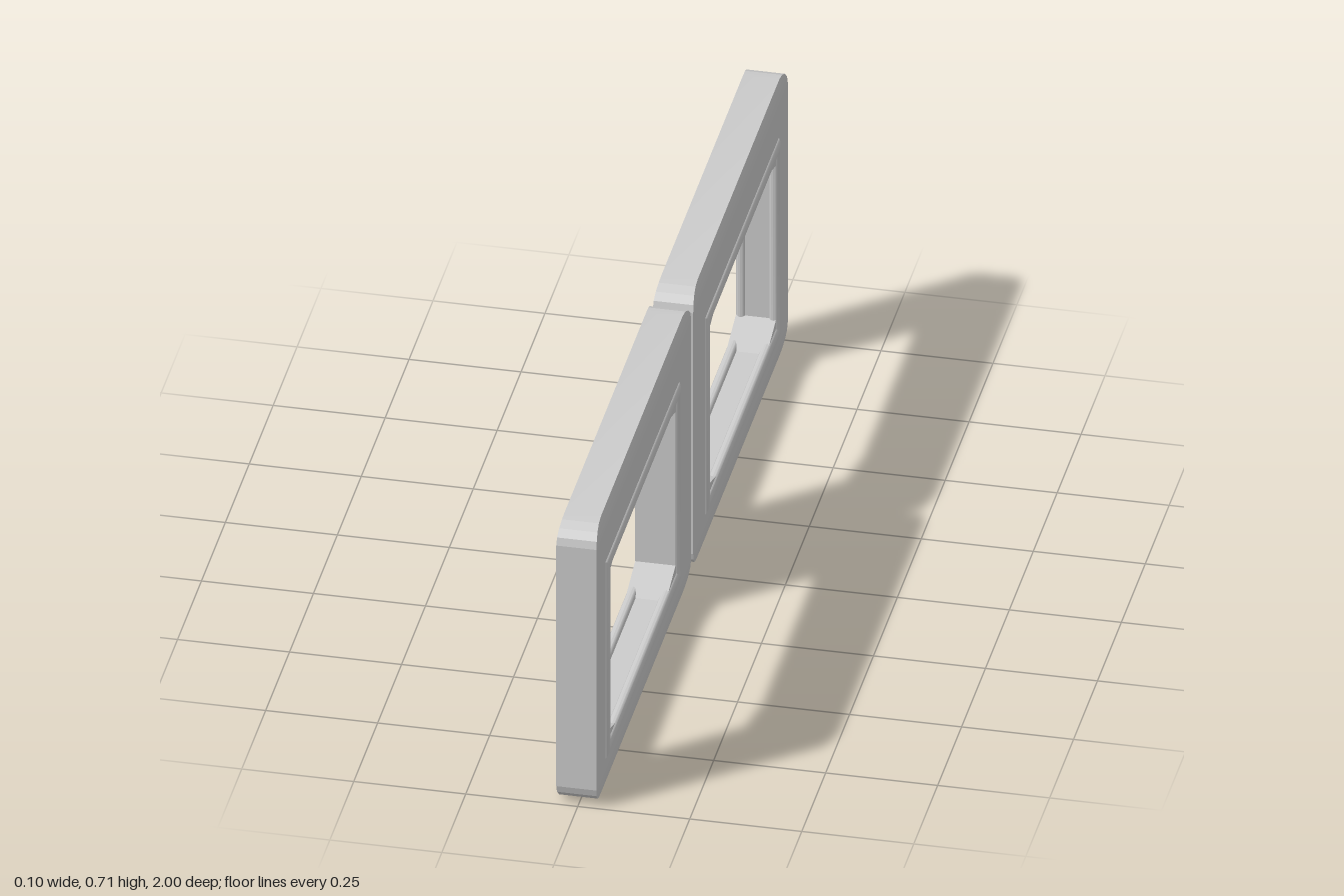
import * as THREE from 'three';
import { toCreasedNormals } from 'three/addons/utils/BufferGeometryUtils.js';

const material = new THREE.MeshStandardMaterial({ color: 0xcccccc });
const TOP = 0.708, THICK = 0.09, PLATE_X = -0.003;
const Z0 = 0.011, Z1 = 1, MID_Z = (Z0 + Z1) / 2;
const CORNER_Z = 0.068, CORNER_Y = 0.046;

// Flat middle of a frame with a chamfered opening; s picks the front or rear one
function plateGeometry(s) {
  const points = list => list.map(([z, y]) => new THREE.Vector2(s * z, y));
  const y0 = CORNER_Y, y1 = TOP - CORNER_Y;
  const shape = new THREE.Shape(points([[Z0, y0], [Z1, y0], [Z1, y1], [Z0, y1]]));
  const a = 0.174, b = 0.88, lo = 0.095, hi = 0.552, cz = 0.1, cy = 0.032;
  // The opening runs against the outline so that its walls face inwards
  shape.holes.push(new THREE.Path(points([
    [b - cz, lo], [a + cz, lo], [a, lo + cy], [a, hi - cy],
    [a + cz, hi], [b - cz, hi], [b, hi - cy], [b, lo + cy],
  ])));
  return new THREE.ExtrudeGeometry(shape, { depth: THICK, bevelEnabled: false })
    .translate(0, 0, -THICK / 2).rotateY(-Math.PI / 2);
}

// Edge strip with rounded ends that thins slightly towards its outer edge
function edgeGeometry() {
  const steps = 4, width = Z1 - Z0;
  const g = new THREE.BoxGeometry(THICK, 1, width, 1, steps, 1).translate(0, 0.5, 0);
  const p = g.attributes.position;
  for (let i = 0; i < p.count; i++) {
    const a = p.getY(i) * Math.PI / 2, h = Math.sin(a);
    const halfZ = width / 2 - CORNER_Z * (1 - Math.cos(a));
    p.setXYZ(i, p.getX(i) * (1 - 0.1 * h * h), CORNER_Y * h, Math.sign(p.getZ(i)) * halfZ);
  }
  return toCreasedNormals(g, 0.25);
}

// Rounded bead swept round a rectangle with mitred corners
function beadGeometry(halfZ, halfY, depth, r, sides = 16) {
  const pos = [], index = [];
  for (const [sz, sy] of [[1, 1], [-1, 1], [-1, -1], [1, -1]]) {
    for (let j = 0; j < sides; j++) {
      const a = j / sides * Math.PI * 2, out = r * (Math.cos(a) - 1);
      pos.push(depth * Math.sin(a), sy * (halfY + out), sz * (halfZ + out));
    }
  }
  for (let k = 0; k < 4; k++) {
    for (let j = 0; j < sides; j++) {
      const n = (j + 1) % sides, k2 = (k + 1) % 4;
      const a = k * sides + j, b = k2 * sides + j, c = k * sides + n, d = k2 * sides + n;
      index.push(a, c, b, b, c, d);
    }
  }
  const g = new THREE.BufferGeometry();
  g.setAttribute('position', new THREE.Float32BufferAttribute(pos, 3));
  g.setIndex(index);
  return toCreasedNormals(g, 0.8);
}

export function createModel() {
  const model = new THREE.Group();
  model.name = 'doubleFrame';
  const bead = beadGeometry(0.3875, 0.2535, 0.013, 0.0175);
  const edge = edgeGeometry();

  for (const s of [1, -1]) {
    const frame = new THREE.Group();
    frame.name = s > 0 ? 'frontFrame' : 'rearFrame';
    const add = (name, geometry, x, y, z) => {
      const mesh = new THREE.Mesh(geometry, material);
      mesh.name = name;
      mesh.position.set(x, y, z);
      frame.add(mesh);
      return mesh;
    };
    add('framePlate', plateGeometry(s), PLATE_X, 0, 0);
    add('topEdge', edge, PLATE_X, TOP - CORNER_Y, s * MID_Z);
    add('bottomEdge', edge, PLATE_X, CORNER_Y, s * MID_Z).rotation.z = Math.PI;
    // One bead around the opening on each face
    add('leftBead', bead, 0.036, 0.3235, s * 0.5215);
    add('rightBead', bead, -0.0375, 0.3235, s * 0.5215);
    model.add(frame);
  }
  return model;
}
